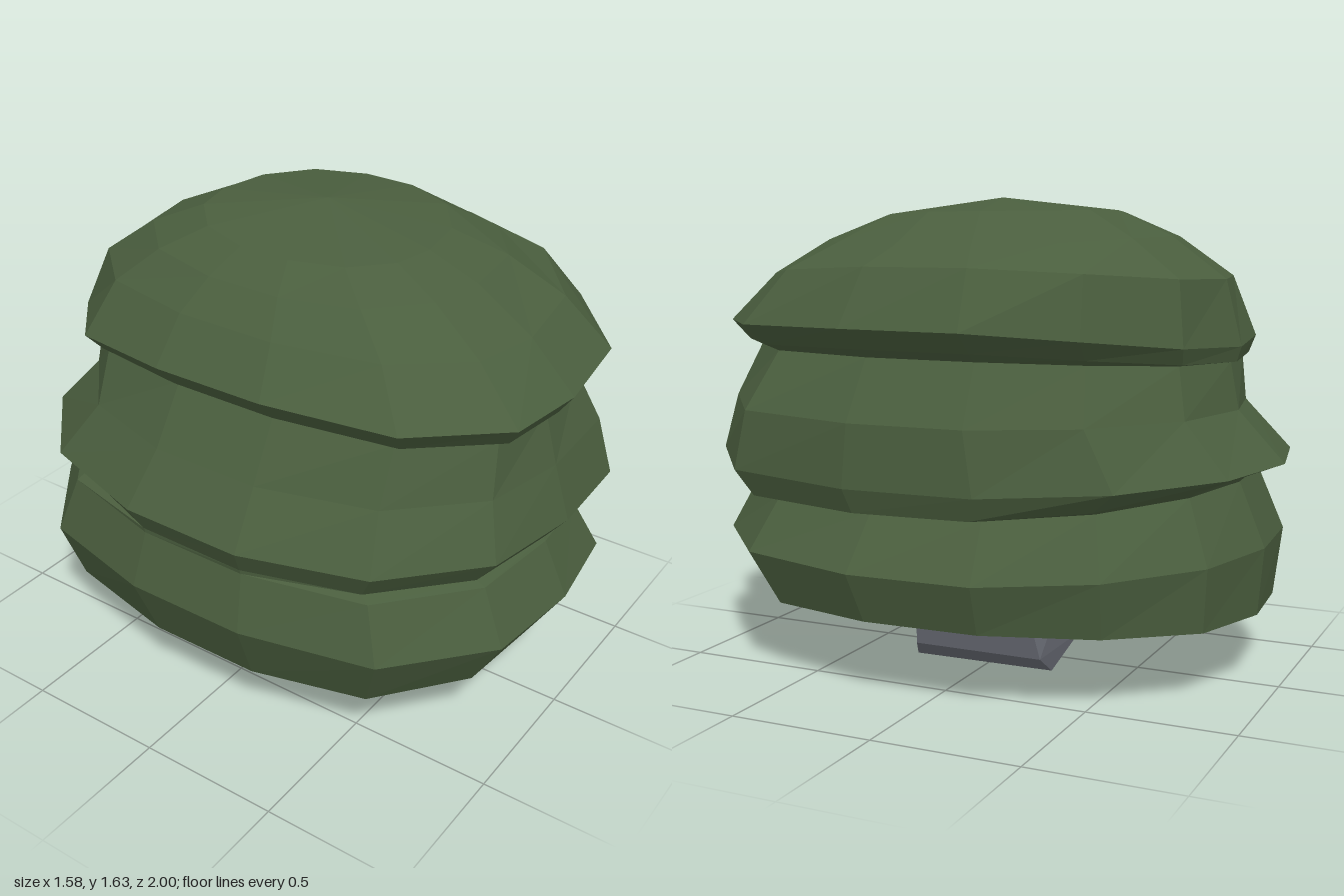
import * as THREE from 'three';
import { ConvexGeometry } from 'three/addons/geometries/ConvexGeometry.js';

const SIDES = 14;

// Bulge of each tier toward its corners: [+x+z, +x-z, -x+z, -x-z]
const LOW = [0.03, -0.065, 0.05, 0.065];
const MID = [0.085, -0.05, 0, 0];
const TOP = [0.035, -0.07, 0.055, 0.055];
const DOME = [0.02, -0.02, 0.01, 0.02];
const EVEN = [0, 0, 0, 0];

// Each ring: extents [-x, +x, -z, +z], heights at those four sides, corner bulge.
const RINGS = [
  [-0.32, 0.32, -0.73, 0.35, 0.185, 0.2, 0.18, 0.165, EVEN],
  [-0.69, 0.7, -0.92, 0.87, 0.21, 0.265, 0.24, 0.245, LOW],
  [-0.795, 0.76, -0.94, 1.0, 0.455, 0.43, 0.47, 0.45, LOW],
  [-0.74, 0.63, -0.85, 0.91, 0.65, 0.61, 0.69, 0.64, LOW],
  [-0.75, 0.74, -0.88, 0.90, 0.665, 0.63, 0.72, 0.65, MID],
  [-0.795, 0.77, -1.0, 0.98, 0.755, 0.71, 0.76, 0.75, MID],
  [-0.67, 0.76, -0.84, 0.92, 0.94, 0.92, 0.93, 0.94, MID],
  [-0.54, 0.66, -0.81, 0.87, 1.14, 1.12, 1.09, 1.12, TOP],
  [-0.56, 0.71, -0.83, 0.91, 1.14, 1.15, 1.09, 1.13, TOP],
  [-0.64, 0.795, -0.845, 0.96, 1.23, 1.22, 1.14, 1.2, TOP],
  [-0.53, 0.70, -0.79, 0.80, 1.38, 1.41, 1.36, 1.36, DOME],
  [-0.43, 0.58, -0.60, 0.60, 1.48, 1.47, 1.50, 1.49, DOME],
  [-0.32, 0.42, -0.41, 0.42, 1.555, 1.58, 1.585, 1.56, EVEN],
];

// Blunt oval ring whose height eases from side to side
function ringPoints([x0, x1, z0, z1, yl, yr, yb, yf, bulge]) {
  const pts = [];
  for (let j = 0; j < SIDES; j++) {
    const a = (j / SIDES) * Math.PI * 2;
    const s = Math.sin(a), c = Math.cos(a);
    const corner = bulge[(s > 0 ? 0 : 2) + (c > 0 ? 0 : 1)];
    const k = Math.pow(Math.abs(s) ** 2.35 + Math.abs(c) ** 2.35, -1 / 2.35)
      * (1 + corner * Math.sin(2 * a) ** 2);
    const x = s * k * (s > 0 ? x1 : -x0);
    const z = c * k * (c > 0 ? z1 : -z0);
    const y = s * s * (s > 0 ? yr : yl) + c * c * (c > 0 ? yf : yb);
    pts.push([x, y, z]);
  }
  return pts;
}

// Skin over consecutive rings, with optional pointed ends
function loft(rings, bottom, top) {
  const rows = rings.map(ringPoints);
  const pos = [];
  const tri = (a, b, c) => pos.push(...a, ...b, ...c);
  for (let j = 0; j < SIDES; j++) {
    const n = (j + 1) % SIDES;
    for (let i = 0; i < rows.length - 1; i++) {
      tri(rows[i][j], rows[i][n], rows[i + 1][n]);
      tri(rows[i][j], rows[i + 1][n], rows[i + 1][j]);
    }
    if (bottom) tri(bottom, rows[0][n], rows[0][j]);
    if (top) {
      const last = rows[rows.length - 1];
      tri(last[j], last[n], top);
    }
  }
  const geo = new THREE.BufferGeometry();
  geo.setAttribute('position', new THREE.Float32BufferAttribute(pos, 3));
  geo.computeVertexNormals();
  return geo;
}

export function createModel() {
  const group = new THREE.Group();
  group.name = 'layeredShrub';
  const leaf = new THREE.MeshStandardMaterial({ color: 0x4a5e3e });
  leaf.name = 'leafGreen';
  const stone = new THREE.MeshStandardMaterial({ color: 0x6c6f78 });
  stone.name = 'stoneGrey';

  const add = (name, geo, mat) => {
    const mesh = new THREE.Mesh(geo, mat);
    mesh.name = name;
    group.add(mesh);
  };

  // Foliage tiers, each sharing its seam ring with the next
  add('lowerFoliage', loft(RINGS.slice(0, 4), [0, 0.175, -0.15], null), leaf);
  add('middleFoliage', loft(RINGS.slice(3, 8), null, null), leaf);
  add('upperFoliage', loft(RINGS.slice(7), null, [0.04, 1.63, 0]), leaf);

  // Faceted stump under the foliage
  const stump = [
    [0.1, 0.003, 0.28], [0.17, 0, 0.28], [0.16, 0, -0.24],
    [-0.1, 0.065, 0.26], [-0.22, 0.065, 0.14], [-0.22, 0.065, -0.15], [-0.1, 0.07, -0.24],
    [0.31, 0.085, 0.21], [0.31, 0.085, -0.26],
    [-0.22, 0.23, 0.14], [-0.1, 0.23, 0.25], [0.17, 0.23, 0.27],
    [0.35, 0.23, 0.19], [0.35, 0.23, -0.24], [0.15, 0.23, -0.26], [-0.22, 0.23, -0.18],
  ].map((p) => new THREE.Vector3(...p));
  add('stump', new ConvexGeometry(stump), stone);

  return group;
}
